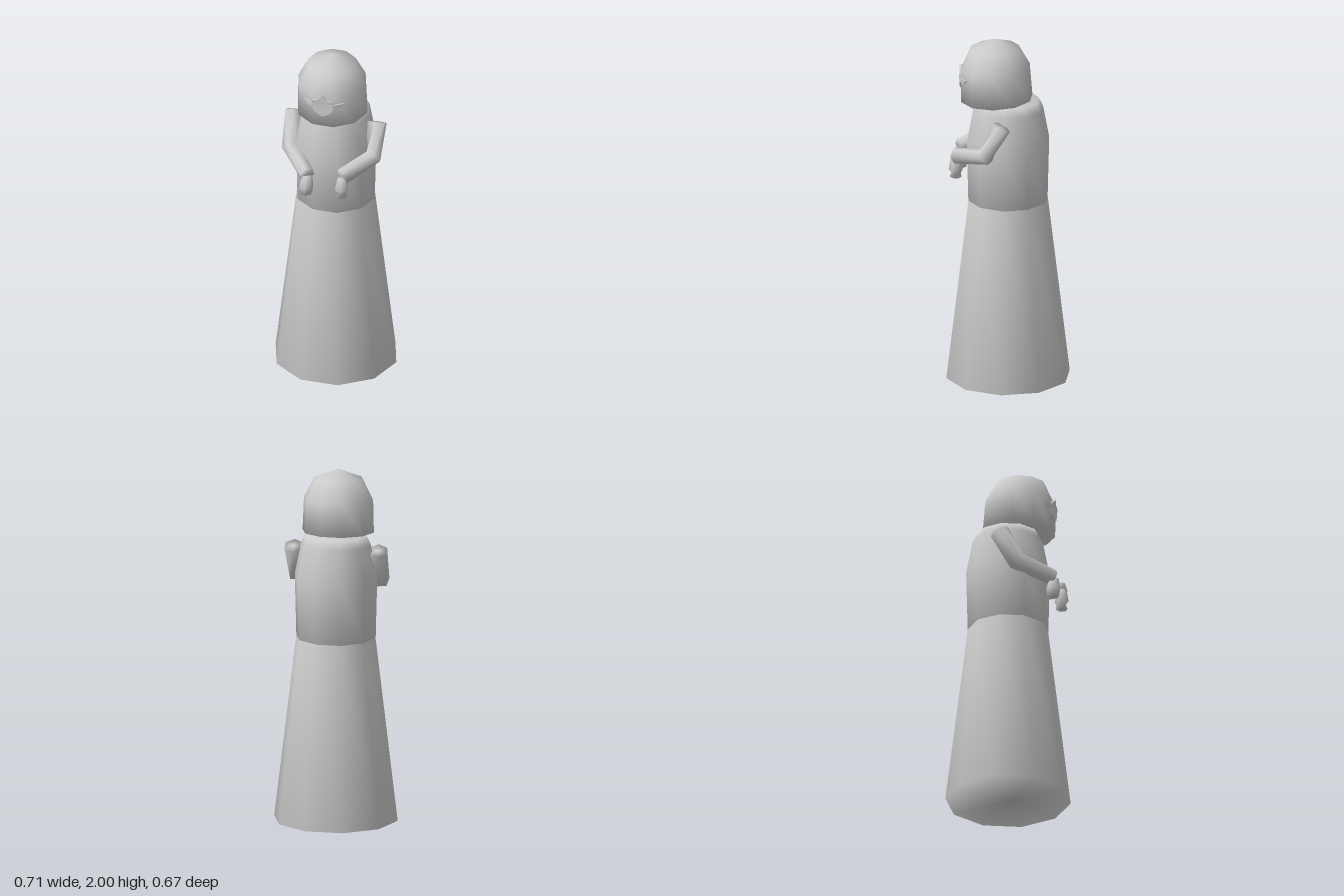
import * as THREE from 'three';
import { mergeVertices } from 'three/addons/utils/BufferGeometryUtils.js';

const stone = new THREE.MeshStandardMaterial({ color: 0xcccccc });
stone.name = 'pale grey';

// Share vertices so shading runs smoothly over every edge
function smooth(geometry) {
  geometry.deleteAttribute('normal');
  geometry.deleteAttribute('uv');
  const merged = mergeVertices(geometry, 1e-4);
  merged.computeVertexNormals();
  return merged;
}

function part(name, geometry) {
  const mesh = new THREE.Mesh(geometry, stone);
  mesh.name = name;
  return mesh;
}

// Ten-sided closed turned form, profile listed from bottom to top as [radius, y]
function turned(name, profile) {
  const points = profile.map(([r, y]) => new THREE.Vector2(r, y));
  return part(name, smooth(new THREE.LatheGeometry(points, 10, Math.PI / 2)));
}

// Closed tube through a few points with its own radius at each one
function limb(name, path, radii, sides) {
  const pts = path.map((p) => new THREE.Vector3(...p));
  const last = pts.length - 1;
  const geo = new THREE.CylinderGeometry(1, 1, last, sides, last);
  const pos = geo.attributes.position;
  const up = new THREE.Vector3(0, 1, 0);
  const v = new THREE.Vector3();
  const q = new THREE.Quaternion();
  for (let i = 0; i < pos.count; i++) {
    v.fromBufferAttribute(pos, i);
    const k = Math.round(v.y + last / 2);
    const dir = pts[Math.min(k + 1, last)].clone().sub(pts[Math.max(k - 1, 0)]).normalize();
    q.setFromUnitVectors(up, dir);
    v.set(v.x * radii[k], 0, v.z * radii[k]).applyQuaternion(q).add(pts[k]);
    pos.setXYZ(i, v.x, v.y, v.z);
  }
  return part(name, smooth(geo));
}

// Small pointed face piece with two thin side tips, bent around the head
function facePiece() {
  const half = [[0, 0.07], [0.025, 0.04], [0.06, 0.03], [0.062, 0.012], [0.115, 0.01],
    [0.105, -0.012], [0.062, -0.012], [0.045, -0.045], [0, -0.07]];
  const left = half.slice(1, -1).reverse().map(([x, y]) => [-x, y]);
  const shape = new THREE.Shape([...half, ...left].map(([x, y]) => new THREE.Vector2(x, y)));
  const geo = new THREE.ExtrudeGeometry(shape, { depth: 0.014, bevelEnabled: false });
  const pos = geo.attributes.position;
  for (let i = 0; i < pos.count; i++) {
    const bend = Math.max(0, Math.abs(pos.getX(i)) - 0.06) * 0.727;
    pos.setZ(i, pos.getZ(i) - bend);
  }
  geo.computeVertexNormals();
  return part('facePiece', geo);
}

export function createModel() {
  const model = new THREE.Group();
  model.name = 'robedFigure';

  // Long flared skirt and the upper body
  model.add(turned('skirt', [[0, 0], [0.353, 0], [0.226, 1.055], [0, 1.055]]));
  model.add(turned('torso', [[0, 1.052], [0.227, 1.052], [0.236, 1.4], [0.2, 1.59], [0.175, 1.64], [0, 1.64]]));

  // Domed head, tipped slightly forward
  const head = new THREE.Group();
  head.name = 'head';
  head.add(turned('dome', [[0, 0], [0.204, 0], [0.198, 0.185], [0.14, 0.3], [0, 0.355]]));
  const face = facePiece();
  face.position.set(0, 0.135, 0.186);
  head.add(face);
  head.position.set(0, 1.645, 0.063);
  head.rotation.x = 0.05;
  model.add(head);

  // Bent arms with the hands hanging at the front
  const arms = [
    { side: 'left', shoulder: [0.245, 1.56, 0.012], elbow: [0.247, 1.385, 0.1], wrist: [0.12, 1.335, 0.28], hand: [0.117, 1.21, 0.282] },
    { side: 'right', shoulder: [-0.24, 1.555, 0.005], elbow: [-0.235, 1.37, 0.1], wrist: [-0.085, 1.315, 0.28], hand: [-0.09, 1.195, 0.28] },
  ];
  for (const { side, shoulder, elbow, wrist, hand } of arms) {
    model.add(limb(side + 'Arm', [shoulder, elbow, wrist], [0.056, 0.052, 0.046], 6));
    const [x, y, z] = wrist;
    const palm = [hand[0], hand[1] + 0.045, hand[2]];
    model.add(limb(side + 'Hand', [[x, y - 0.01, z], palm, hand], [0.03, 0.04, 0.034], 6));
  }
  return model;
}
